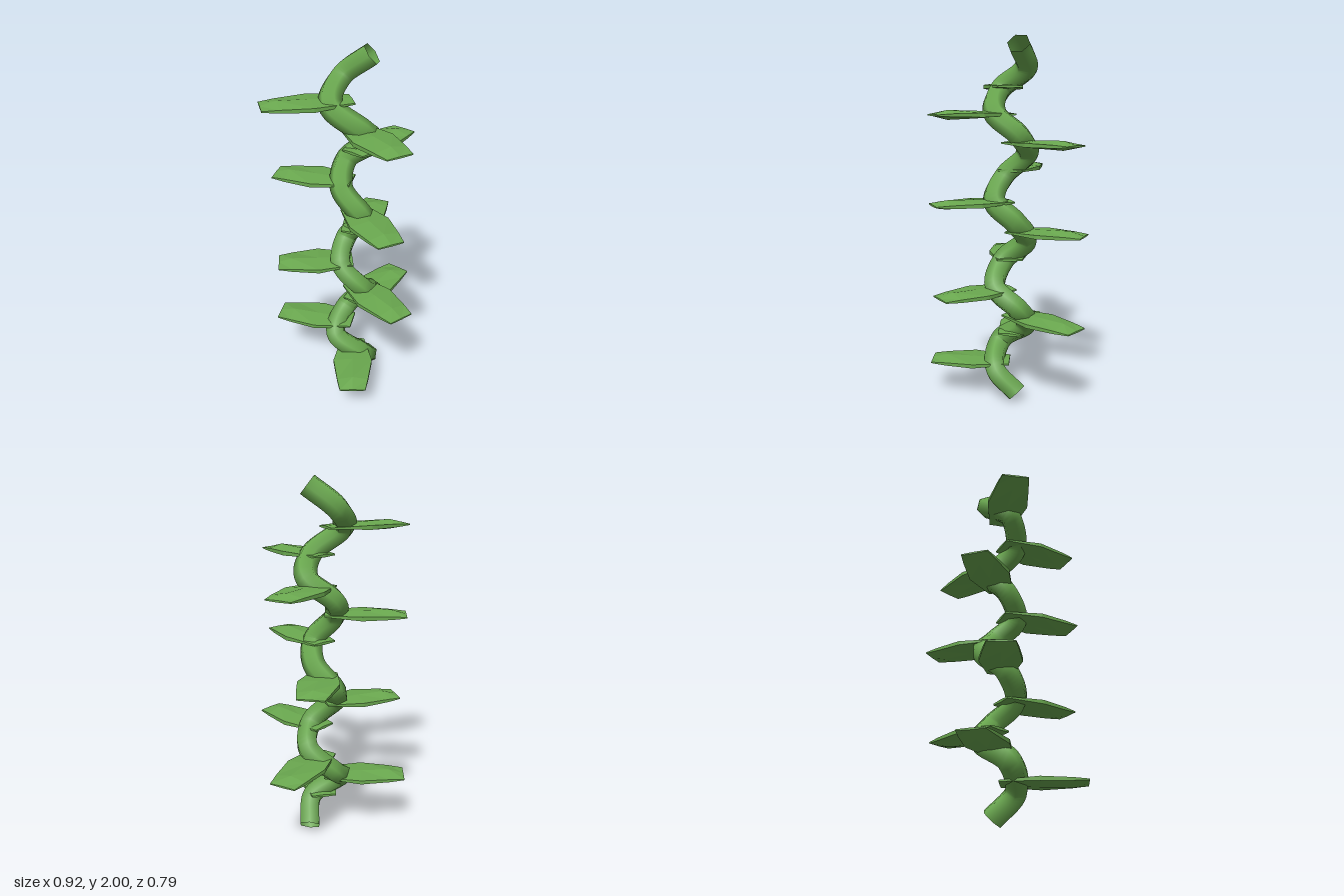
import * as THREE from 'three';

const vineMaterial = new THREE.MeshStandardMaterial({ color: 0x6aa84f, side: THREE.DoubleSide });
const leafMaterial = new THREE.MeshStandardMaterial({ color: 0x6aa84f, flatShading: true });

// Leaf stations along its length: [z, half width, rim half thickness, ridge half thickness]
const STATIONS = [
  [0, 0.07, 0.004, 0.008],
  [0.46, 0.113, 0.011, 0.02],
  [0.82, 0.088, 0.008, 0.025],
  [1, 0.072, 0.003, 0.005],
];

// Unit-length leaf along +z, lofted through six-sided cross-sections
function leafGeometry() {
  const n = 6, positions = [], index = [];
  for (const [z, w, rim, ridge] of STATIONS) {
    positions.push(w, rim, z, 0, ridge, z, -w, rim, z, -w, -rim, z, 0, -ridge, z, w, -rim, z);
  }
  const last = (STATIONS.length - 1) * n;
  for (let s = 0; s < last; s += n) {
    for (let i = 0; i < n; i++) {
      const a = s + i, b = s + (i + 1) % n;
      index.push(a, b, b + n, a, b + n, a + n);
    }
  }
  // End caps
  for (let i = 1; i < n - 1; i++) {
    index.push(0, i + 1, i, last, last + i, last + i + 1);
  }
  const geometry = new THREE.BufferGeometry();
  geometry.setAttribute('position', new THREE.Float32BufferAttribute(positions, 3));
  geometry.setIndex(index);
  const flat = geometry.toNonIndexed();
  flat.computeVertexNormals();
  return flat;
}

export function createModel() {
  const model = new THREE.Group();
  model.name = 'spiralVine';

  // Stem: four turns, listed as [x, y] at each quarter turn (right, front, left, back)
  const quarters = [
    [0.11, 0.045], [0.02, 0.17], [-0.11, 0.29], [0.02, 0.41],
    [0.12, 0.54], [0.02, 0.65], [-0.07, 0.78], [0.02, 0.9],
    [0.077, 1.02], [0.01, 1.13], [-0.06, 1.26], [0.02, 1.38],
    [0.12, 1.49], [0.02, 1.6], [-0.115, 1.73], [0, 1.84],
    [0.115, 1.955],
  ];
  const depth = [-0.053, 0.04, -0.053, -0.148];
  const path = new THREE.CatmullRomCurve3(
    quarters.map(([x, y], i) => new THREE.Vector3(x, y, depth[i % 4])));
  const stem = new THREE.Mesh(new THREE.TubeGeometry(path, 160, 0.062, 6), vineMaterial);
  stem.name = 'stem';
  model.add(stem);

  // Leaves: height and tip position [y, x, z], three to a turn
  const tips = [
    [0.2, -0.195, 0.34], [0.35, -0.345, -0.34], [0.485, 0.43, -0.25],
    [0.635, 0.08, 0.38], [0.79, -0.385, -0.21], [0.96, 0.32, -0.345],
    [1.125, 0, 0.385], [1.29, -0.32, -0.335], [1.445, 0.422, -0.23],
    [1.595, 0.033, 0.385], [1.74, -0.445, -0.157],
  ];
  const geometry = leafGeometry();
  const base = { x: 0.005, z: -0.055 };
  tips.forEach(([y, x, z], i) => {
    const dx = x - base.x, dz = z - base.z;
    const leaf = new THREE.Mesh(geometry, leafMaterial);
    leaf.name = `leaf${i + 1}`;
    leaf.position.set(base.x, y, base.z);
    leaf.rotation.y = Math.atan2(dx, dz);
    leaf.scale.z = Math.hypot(dx, dz);
    model.add(leaf);
  });

  return model;
}
